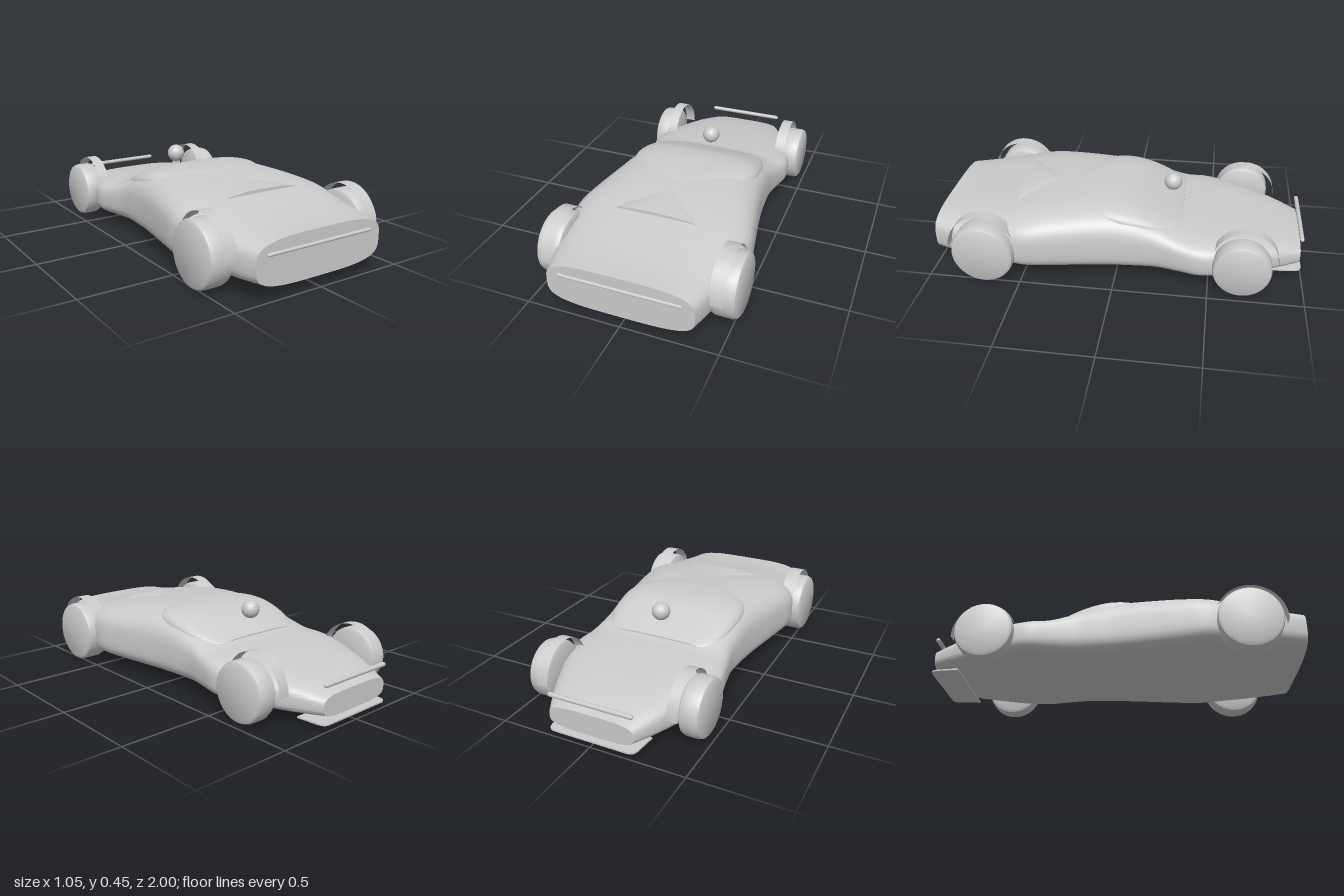
import * as THREE from 'three';
import { toCreasedNormals } from 'three/addons/utils/BufferGeometryUtils.js';

const material = new THREE.MeshStandardMaterial({ color: 0xcccccc });
const thinMaterial = new THREE.MeshStandardMaterial({ color: 0xcccccc, side: THREE.DoubleSide });

// Interpolates rows of numbers (first entry is z) smoothly along the length
function sample(rows, t) {
  const f = t * (rows.length - 1);
  const i = Math.min(Math.floor(f), rows.length - 2);
  const u = f - i;
  const row = (k) => rows[Math.max(0, Math.min(rows.length - 1, k))];
  return rows[0].map((_, c) => {
    const [a, b, d, e] = [row(i - 1)[c], row(i)[c], row(i + 1)[c], row(i + 2)[c]];
    const m0 = (d - a) / 2, m1 = (e - b) / 2;
    return (2 * u ** 3 - 3 * u * u + 1) * b + (u ** 3 - 2 * u * u + u) * m0
      + (3 * u * u - 2 * u ** 3) * d + (u ** 3 - u * u) * m1;
  });
}

// Lofts rounded-box sections [z, halfWidth, bottom, middle, top]; z must increase
function loft(rows, exponent, steps = 64, around = 56) {
  const position = [], index = [];
  for (let i = 0; i <= steps; i++) {
    const [z, w, bottom, middle, top] = sample(rows, i / steps);
    for (let j = 0; j < around; j++) {
      const a = (j / around) * Math.PI * 2;
      const c = Math.cos(a), s = Math.sin(a);
      const x = Math.sign(c) * Math.abs(c) ** (2 / exponent) * w;
      const h = Math.abs(s) ** (2 / exponent);
      position.push(x, s > 0 ? middle + h * (top - middle) : middle - h * (middle - bottom), z);
    }
  }
  for (let i = 0; i < steps; i++) {
    for (let j = 0; j < around; j++) {
      const a = i * around + j, b = i * around + ((j + 1) % around);
      index.push(a, b, a + around, b, b + around, a + around);
    }
  }
  // Flat end caps
  const last = steps * around;
  for (let j = 1; j < around - 1; j++) {
    index.push(0, j + 1, j, last, last + j, last + j + 1);
  }
  const geometry = new THREE.BufferGeometry();
  geometry.setAttribute('position', new THREE.Float32BufferAttribute(position, 3));
  geometry.setIndex(index);
  return toCreasedNormals(geometry, 0.7);
}

function wheelGeometry(radius, width) {
  const h = width / 2;
  const profile = [[0, -h], [radius - 0.02, -h], [radius - 0.006, -h + 0.008], [radius, -h + 0.025],
    [radius, h - 0.025], [radius - 0.006, h - 0.008], [radius - 0.02, h], [0, h]];
  const geometry = new THREE.LatheGeometry(profile.map(([x, y]) => new THREE.Vector2(x, y)), 40);
  return toCreasedNormals(geometry.rotateZ(-Math.PI / 2), 0.6);
}

export function createModel() {
  const model = new THREE.Group();
  const add = (name, geometry, x = 0, y = 0, z = 0, mat = material) => {
    const mesh = new THREE.Mesh(geometry, mat);
    mesh.name = name;
    mesh.position.set(x, y, z);
    model.add(mesh);
    return mesh;
  };

  // Main shell, from the narrow nose to the wide tail
  add('body', loft([
    [-0.985, 0.23, 0.055, 0.11, 0.168],
    [-0.85, 0.30, 0.045, 0.12, 0.207],
    [-0.72, 0.355, 0.038, 0.13, 0.233],
    [-0.58, 0.41, 0.034, 0.14, 0.253],
    [-0.45, 0.434, 0.032, 0.15, 0.266],
    [-0.34, 0.415, 0.03, 0.16, 0.28],
    [-0.22, 0.396, 0.03, 0.17, 0.328],
    [-0.1, 0.4, 0.03, 0.17, 0.373],
    [0.02, 0.41, 0.03, 0.17, 0.392],
    [0.17, 0.433, 0.03, 0.17, 0.393],
    [0.33, 0.463, 0.03, 0.175, 0.383],
    [0.48, 0.485, 0.033, 0.175, 0.365],
    [0.62, 0.462, 0.037, 0.175, 0.342],
    [0.75, 0.438, 0.042, 0.172, 0.317],
    [0.88, 0.412, 0.05, 0.17, 0.297],
    [0.99, 0.38, 0.055, 0.17, 0.29],
  ], 3.6, 90, 64), 0, 0, 0);

  // Raised canopy, sinking into the shell at its rear
  add('canopy', loft([
    [-0.34, 0.27, 0.24, 0.255, 0.287],
    [-0.3, 0.305, 0.25, 0.265, 0.306],
    [-0.2, 0.345, 0.26, 0.285, 0.35],
    [-0.1, 0.36, 0.28, 0.3, 0.388],
    [0, 0.36, 0.3, 0.32, 0.402],
    [0.1, 0.33, 0.31, 0.33, 0.402],
    [0.2, 0.22, 0.32, 0.34, 0.396],
    [0.29, 0.08, 0.33, 0.35, 0.384],
  ], 3, 40, 48));

  // Scoop on the rear deck
  add('rearScoop', loft([
    [0.3, 0.04, 0.345, 0.355, 0.382],
    [0.4, 0.12, 0.34, 0.35, 0.379],
    [0.5, 0.2, 0.335, 0.345, 0.374],
    [0.555, 0.225, 0.335, 0.345, 0.37],
  ], 2, 12, 32));

  add('driverHead', new THREE.SphereGeometry(0.049, 32, 20), 0, 0.403, -0.275);

  // Slim bars across the nose and the tail
  const bar = (name, length, radius, y, z) => {
    const geometry = new THREE.CapsuleGeometry(radius, length - radius * 2, 6, 12).rotateZ(Math.PI / 2);
    add(name, geometry, 0, y, z);
  };
  bar('noseBar', 0.46, 0.012, 0.222, -0.983);
  bar('tailBar', 0.64, 0.009, 0.22, 0.99);

  // Thin plate under the nose, with rounded front corners
  const plate = new THREE.Shape();
  plate.moveTo(-0.25, 0.845);
  plate.lineTo(0.25, 0.845);
  plate.lineTo(0.24, 0.96);
  plate.quadraticCurveTo(0.235, 1, 0.2, 1);
  plate.lineTo(-0.2, 1);
  plate.quadraticCurveTo(-0.235, 1, -0.24, 0.96);
  plate.closePath();
  const plateGeometry = new THREE.ExtrudeGeometry(plate, { depth: 0.008, bevelEnabled: false });
  add('nosePlate', plateGeometry.rotateX(-Math.PI / 2), 0, 0.028, 0);

  // Wheels and thin half-round arches, mirrored left and right
  const axles = [
    { name: 'rear', z: 0.69, y: 0.168, r: 0.168, w: 0.135, x: 0.458, archX: 0.439, archZ: 0.7, archR: 0.187, archW: 0.073 },
    { name: 'front', z: -0.67, y: 0.157, r: 0.153, w: 0.11, x: 0.42, archX: 0.36, archZ: -0.687, archR: 0.173, archW: 0.06 },
  ];
  for (const a of axles) {
    const wheel = wheelGeometry(a.r, a.w);
    const arch = new THREE.CylinderGeometry(a.archR, a.archR, a.archW, 28, 1, true, 0, Math.PI)
      .rotateZ(Math.PI / 2).scale(1, 1.06, 1);
    for (const side of [-1, 1]) {
      const label = a.name + (side > 0 ? 'Left' : 'Right');
      add(label + 'Wheel', wheel, side * a.x, a.y, a.z);
      add(label + 'Arch', arch, side * a.archX, a.y + 0.004, a.archZ, thinMaterial);
    }
  }
  return model;
}
